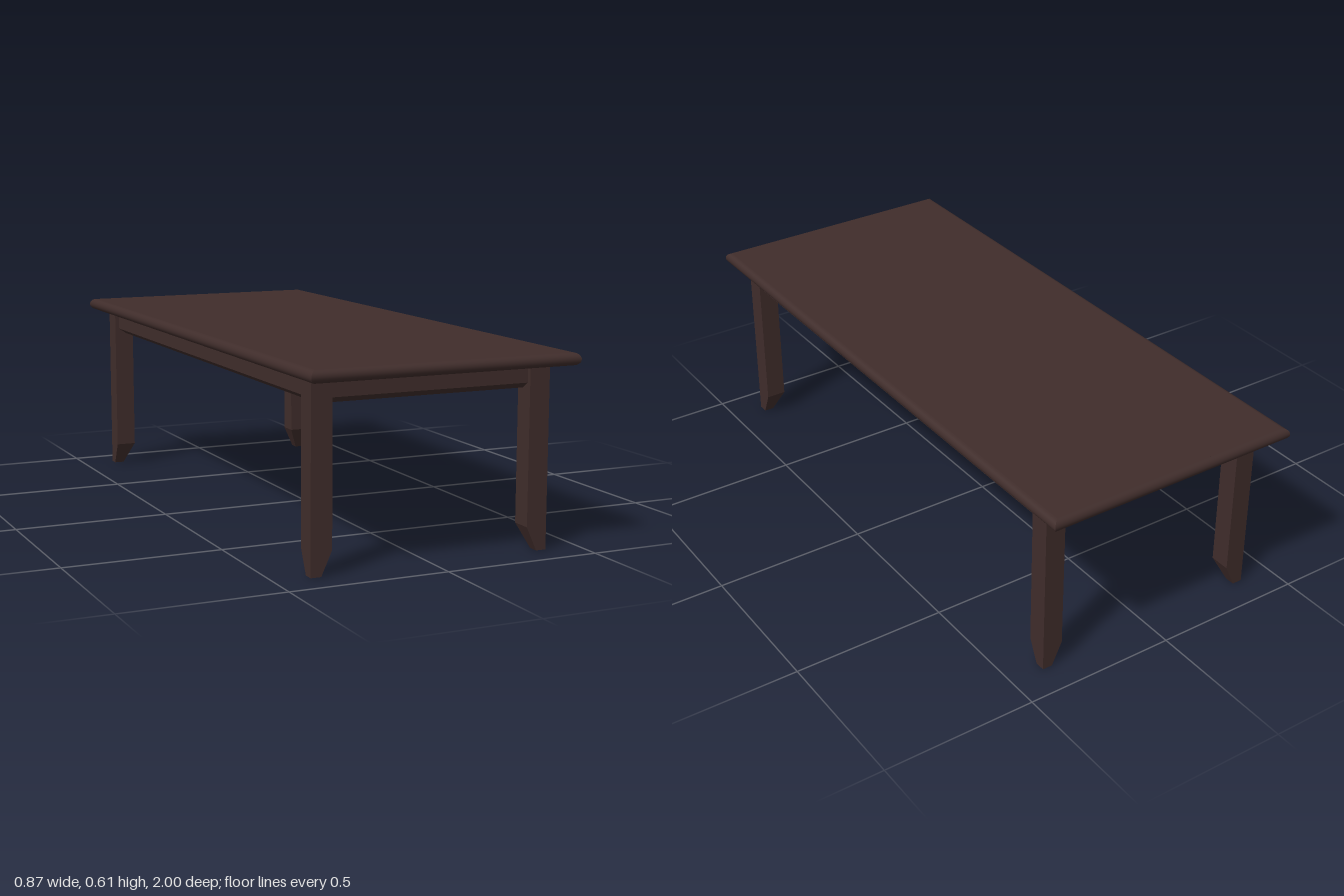
import * as THREE from 'three';

const HALF_X = 0.433, HALF_Z = 1;          // table top half sizes
const TOP = 0.608, UNDER = 0.57;           // table top heights
const LEG_X = 0.389, LEG_Z = 0.9;          // outer faces of the legs
const LEG = 0.067, FOOT = 0.033, FOOT_H = 0.075;

const wood = new THREE.MeshStandardMaterial({ color: 0x402d2b });

function addMesh(parent, name, geometry) {
  const mesh = new THREE.Mesh(geometry, wood);
  mesh.name = name;
  parent.add(mesh);
  return mesh;
}

function faceted(geometry) {
  const flat = geometry.index ? geometry.toNonIndexed() : geometry;
  flat.computeVertexNormals();
  return flat;
}

// One side of a mitred rectangular frame; profile is [inset, height], outside top first
function frameSide(profile, halfX, halfZ, side) {
  const corners = [[1, 1], [1, -1], [-1, -1], [-1, 1]];
  const ends = [corners[side], corners[(side + 1) % 4]];
  const positions = [], index = [];
  profile.forEach(([inset, y], i) => {
    for (const [sx, sz] of ends) positions.push(sx * (halfX - inset), y, sz * (halfZ - inset));
    if (i < profile.length - 1) {
      const a = 2 * i;
      index.push(a, a + 2, a + 3, a, a + 3, a + 1);
    }
  });
  const geometry = new THREE.BufferGeometry();
  geometry.setAttribute('position', new THREE.Float32BufferAttribute(positions, 3));
  geometry.setIndex(index);
  geometry.computeVertexNormals();
  return geometry;
}

// Square leg whose two inner faces slope outward at the foot
function legGeometry(sx, sz) {
  const geometry = new THREE.BoxGeometry(LEG, UNDER, LEG, 1, 2, 1);
  const p = geometry.attributes.position;
  for (let i = 0; i < p.count; i++) {
    const y = p.getY(i);
    const row = y < -0.01 ? 0 : y > 0.01 ? UNDER : FOOT_H;
    const width = row === 0 ? FOOT : LEG;
    const insetX = p.getX(i) * sx > 0 ? 0 : width;
    const insetZ = p.getZ(i) * sz > 0 ? 0 : width;
    p.setXYZ(i, sx * (LEG_X - insetX), row, sz * (LEG_Z - insetZ));
  }
  return faceted(geometry);
}

export function createModel() {
  const table = new THREE.Group();
  table.name = 'table';

  // Table top: flat slab with a half-round edge mitred at the corners
  const top = new THREE.Group();
  top.name = 'tableTop';
  table.add(top);
  const r = (TOP - UNDER) / 2;
  const slab = addMesh(top, 'slab', new THREE.BoxGeometry(2 * (HALF_X - r), 2 * r, 2 * (HALF_Z - r)));
  slab.position.y = UNDER + r;
  const round = [];
  for (let i = 0; i <= 12; i++) {
    const a = Math.PI * i / 12;
    round.push([r - r * Math.sin(a), UNDER + r + r * Math.cos(a)]);
  }

  // Apron: rail with a chamfer along its lower outer edge
  const apron = new THREE.Group();
  apron.name = 'apron';
  table.add(apron);
  const rail = [[0.014, UNDER], [0.014, 0.511], [0.04, 0.493], [LEG, 0.493], [LEG, UNDER]];

  for (let side = 0; side < 4; side++) {
    addMesh(top, 'roundedEdge', frameSide(round, HALF_X, HALF_Z, side));
    addMesh(apron, 'apronRail', faceted(frameSide(rail, LEG_X, LEG_Z, side)));
  }

  // Legs
  for (const sx of [1, -1]) for (const sz of [1, -1]) {
    const name = (sz > 0 ? 'front' : 'back') + (sx > 0 ? 'Left' : 'Right') + 'Leg';
    addMesh(table, name, legGeometry(sx, sz));
  }

  return table;
}
